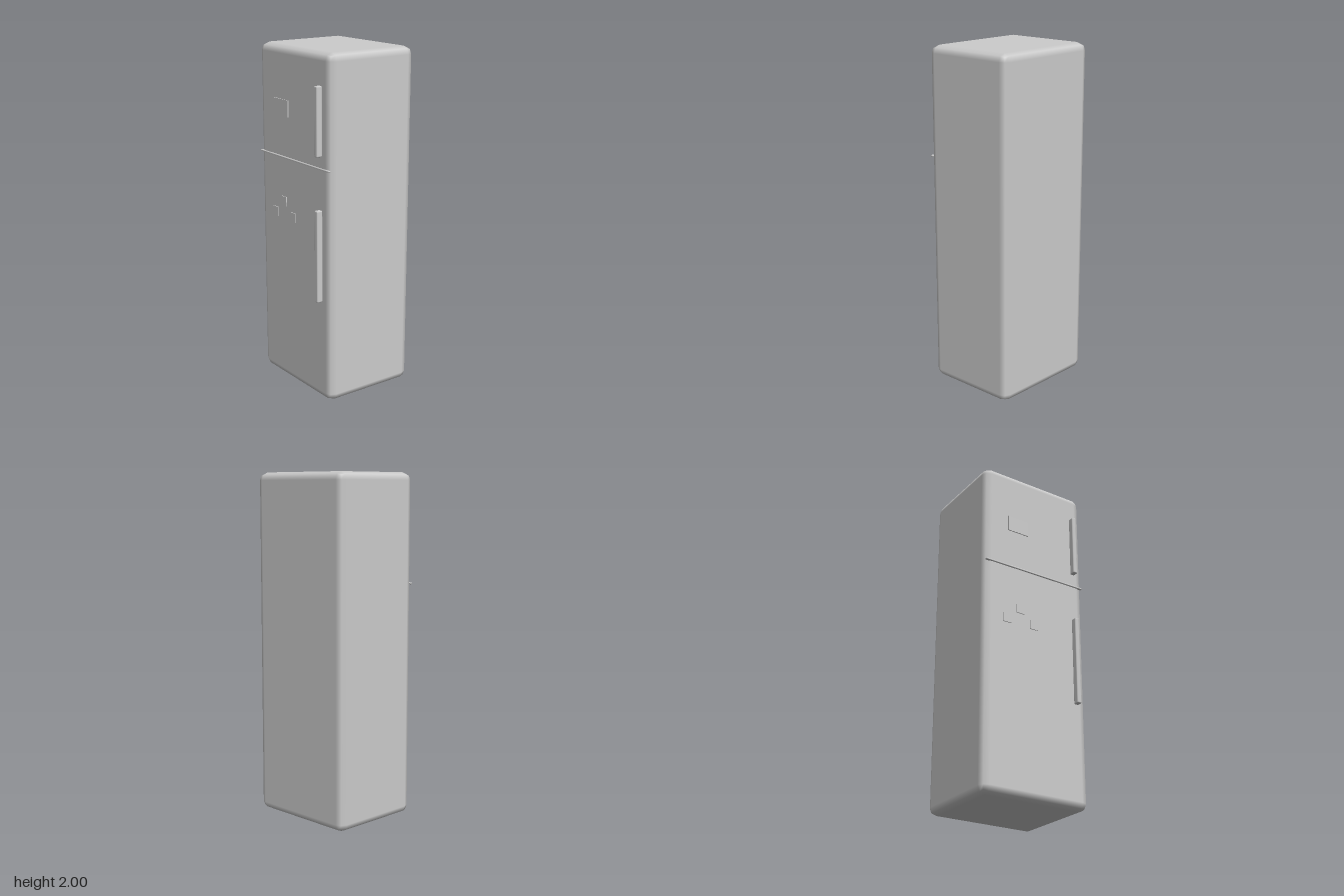
import * as THREE from 'three';
import { RoundedBoxGeometry } from 'three/addons/geometries/RoundedBoxGeometry.js';

export function createModel() {
  const group = new THREE.Group();
  group.name = 'refrigerator';
  const enamel = new THREE.MeshStandardMaterial({ color: 0xcccccc });
  enamel.name = 'greyEnamel';

  // Adds a box spanning [x0,x1], [y0,y1], [z0,z1]; a radius softens its edges
  function box(name, [x0, x1], [y0, y1], [z0, z1], radius = 0) {
    const size = [x1 - x0, y1 - y0, z1 - z0];
    const geometry = radius
      ? new RoundedBoxGeometry(...size, 1, radius)
      : new THREE.BoxGeometry(...size);
    const mesh = new THREE.Mesh(geometry, enamel);
    mesh.position.set((x0 + x1) / 2, (y0 + y1) / 2, (z0 + z1) / 2);
    mesh.name = name;
    group.add(mesh);
  }

  // Cabinet with softly rounded edges
  box('cabinet', [-0.345, 0.345], [0, 2], [-0.311, 0.267], 0.045);

  // Trim strip between the freezer and fridge doors
  box('doorDivider', [-0.339, 0.339], [1.362, 1.373], [0.258, 0.274], 0.005);

  // Upright handles
  box('freezerHandle', [0.254, 0.283], [1.44, 1.825], [0.272, 0.31], 0.007);
  box('fridgeHandle', [0.254, 0.283], [0.605, 1.14], [0.272, 0.31], 0.007);

  // Control panel on the freezer door
  box('controlPanel', [-0.187, -0.048], [1.605, 1.7], [0.264, 0.273]);

  // Small square magnets on the fridge door
  const magnets = [[-0.193, 1.03], [-0.103, 1.108], [-0.012, 1.03]];
  for (const [x, y] of magnets) {
    box('magnet', [x - 0.027, x + 0.027], [y - 0.027, y + 0.027], [0.264, 0.272]);
  }
  return group;
}
